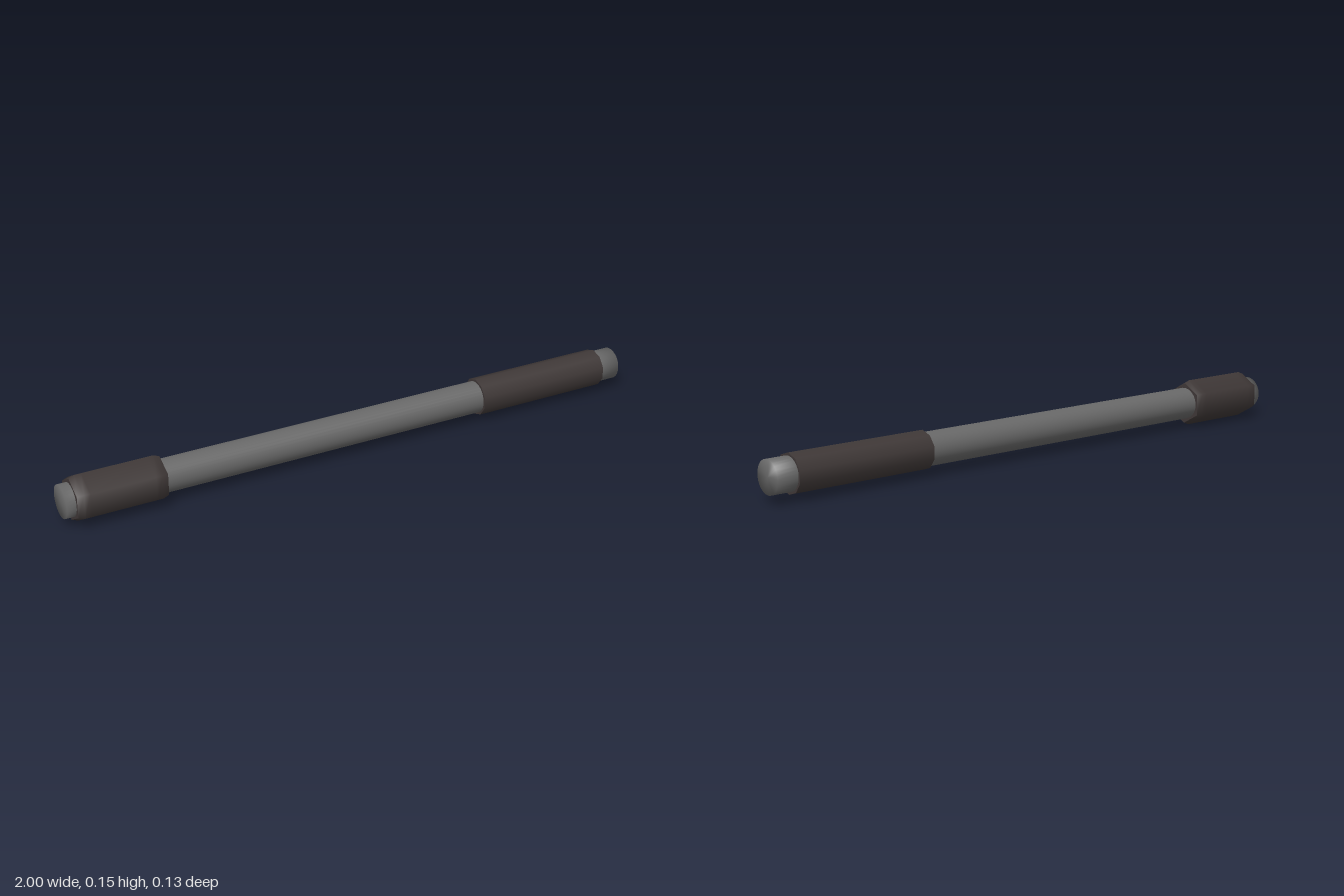
import * as THREE from 'three';

const AXIS_Y = 0.077;

// Turned part lying along x; profile is [x, radius] from the -x end to the +x end.
// Repeated points make a sharp edge, single points a smooth one.
function turned(name, profile, sides, material) {
  const points = profile.map(([x, r]) => new THREE.Vector2(r, x));
  const geometry = new THREE.LatheGeometry(points, sides, Math.PI / 2);
  geometry.rotateZ(-Math.PI / 2);
  const mesh = new THREE.Mesh(geometry, material);
  mesh.name = name;
  mesh.position.y = AXIS_Y;
  return mesh;
}

export function createModel() {
  const metal = new THREE.MeshStandardMaterial({ color: 0x686868 });
  metal.name = 'grey metal';
  const grip = new THREE.MeshStandardMaterial({ color: 0x3f3837 });
  grip.name = 'dark brown grip';

  const group = new THREE.Group();
  group.name = 'rod';

  // Long round bar with softly shaded ends
  const R = 0.053;
  group.add(turned('bar', [
    [-1, 0], [-1, R], [-0.965, R], [0.93, R], [1, R], [1, 0],
  ], 32, metal));

  // Six-sided sleeve with chamfered ends
  group.add(turned('hexSleeve', [
    [-0.97, 0.04], [-0.97, 0.069], [-0.97, 0.069], [-0.95, 0.077],
    [-0.93, 0.077], [-0.72, 0.077], [-0.70, 0.077],
    [-0.68, 0.069], [-0.68, 0.069], [-0.68, 0.04],
  ], 6, grip));

  // Straight handle sleeve
  group.add(turned('handleSleeve', [
    [0.45, 0.04], [0.45, 0.062], [0.45, 0.062],
    [0.93, 0.062], [0.93, 0.062], [0.93, 0.04],
  ], 10, grip));

  return group;
}
